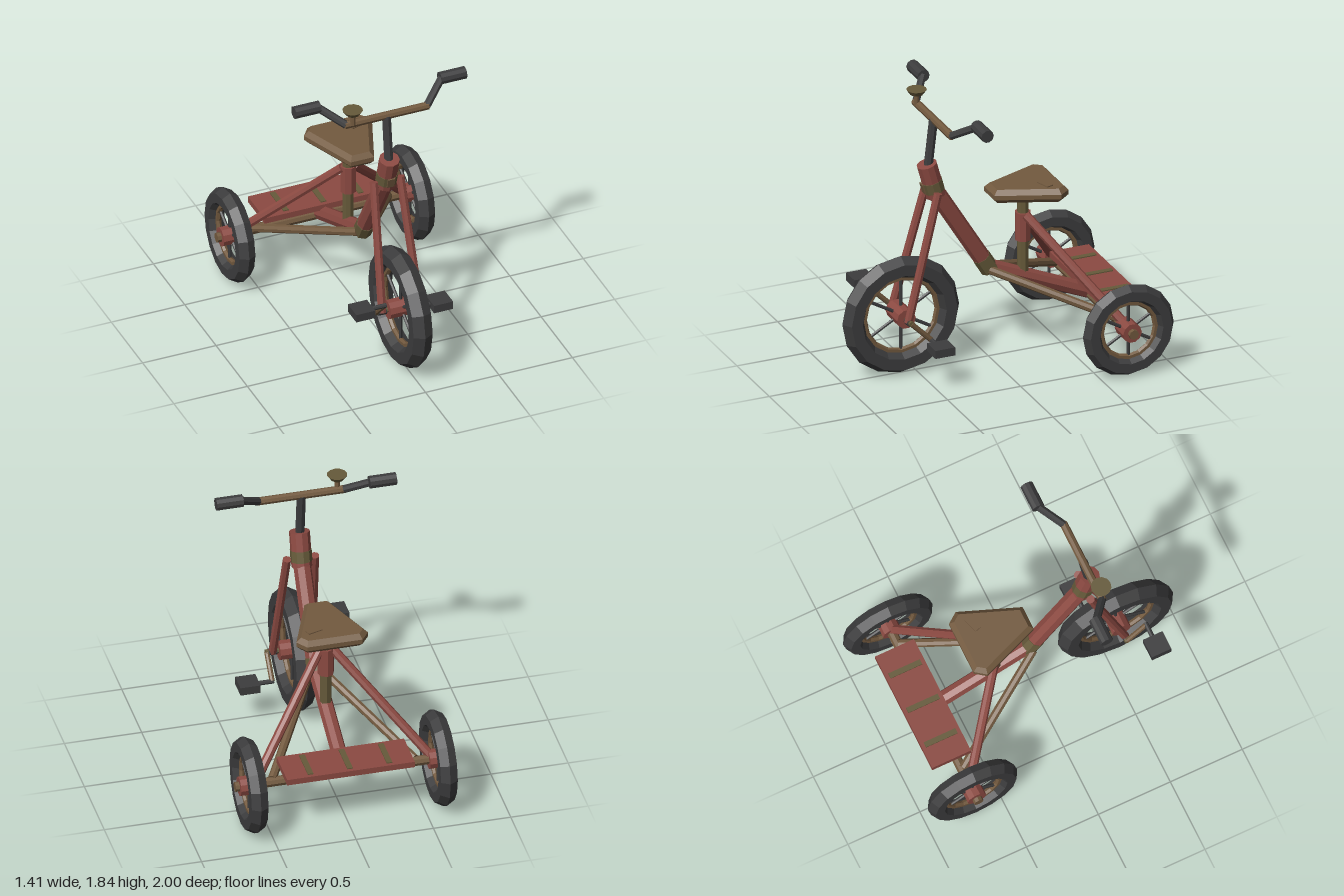
import * as THREE from 'three';

const mat = (name, color) => {
  const m = new THREE.MeshStandardMaterial({ color });
  m.name = name;
  return m;
};

export function createModel() {
  const red = mat('faded red paint', 0x8c4a42);
  const tan = mat('brown', 0x735a3f);
  const brass = mat('dull brass', 0x665a3a);
  const rubber = mat('black rubber', 0x3d3d3e);

  const model = new THREE.Group();
  model.name = 'tricycle';
  const V = (x, y, z) => new THREE.Vector3(x, y, z);

  // Faceted mesh
  function add(name, geometry, material, parent = model) {
    const g = geometry.index ? geometry.toNonIndexed() : geometry;
    g.computeVertexNormals();
    const mesh = new THREE.Mesh(g, material);
    mesh.name = name;
    parent.add(mesh);
    return mesh;
  }

  // Straight tube between two points
  function tube(name, a, b, r, material, parent = model, sides = 8, rTop = r) {
    const dir = b.clone().sub(a);
    const mesh = add(name, new THREE.CylinderGeometry(rTop, r, dir.length(), sides), material, parent);
    mesh.position.copy(a).add(b).multiplyScalar(0.5);
    mesh.quaternion.setFromUnitVectors(V(0, 1, 0), dir.normalize());
    return mesh;
  }

  function box(name, size, pos, material) {
    const mesh = add(name, new THREE.BoxGeometry(...size), material);
    mesh.position.set(...pos);
    return mesh;
  }

  // Wheel turning about x: hexagonal tyre, rim, six spokes and hub
  function wheel(name, pos, radius, thick, hubHalf) {
    const g = new THREE.Group();
    g.name = name;
    g.position.copy(pos);
    const ring = (n, R, t, m) => add(n, new THREE.TorusGeometry(R, t, 6, 16).rotateY(Math.PI / 2), m, g);
    const inner = radius - 2 * thick;
    ring('tyre', radius - thick, thick, rubber);
    ring('rim', inner, 0.019, tan);
    for (let i = 0; i < 6; i++) {
      const a = Math.PI / 6 + (i * Math.PI) / 3;
      tube('spoke', V(0, 0, 0), V(0, Math.sin(a) * inner, Math.cos(a) * inner), 0.011, rubber, g, 6);
    }
    tube('hub', V(-hubHalf, 0, 0), V(hubHalf, 0, 0), 0.064, red, g, 10);
    model.add(g);
  }

  const front = V(0, 0.408, 0.6);
  const rearY = 0.318, rearZ = -0.688;
  wheel('frontWheel', front, 0.4, 0.075, 0.09);
  for (const s of [-1, 1]) wheel(s > 0 ? 'rearWheelLeft' : 'rearWheelRight', V(s * 0.612, rearY, rearZ), 0.311, 0.0625, 0.066);
  tube('rearAxle', V(-0.705, rearY, rearZ), V(0.705, rearY, rearZ), 0.032, tan);

  // Head tube with collar and badge
  const headTop = V(0, 1.41, 0.422), headLow = V(0, 1.185, 0.36);
  const onHead = t => headLow.clone().lerp(headTop, t);
  tube('headTube', headLow, headTop, 0.066, red, model, 10);
  tube('headCollar', onHead(0.16), onHead(0.48), 0.069, brass, model, 10);
  const badge = box('headBadge', [0.05, 0.07, 0.008], [0, 1.245, 0.449], tan);
  badge.rotation.x = 0.27;

  // Main frame tube, bent at the bottom
  const bend = V(0, 0.63, 0.005);
  tube('downTube', V(0, 1.2, 0.355), bend, 0.057, red);
  tube('bendCollar', V(0, 0.7, 0.048), V(0, 0.605, -0.01), 0.06, brass);
  tube('lowerTube', bend, V(0, 0.33, rearZ), 0.05, red);

  // Seat post and collar
  tube('seatPost', V(0, 0.53, -0.237), V(0, 1.1, -0.237), 0.038, brass);
  tube('seatPostCollar', V(0, 0.77, -0.237), V(0, 0.96, -0.237), 0.052, red);

  // Bevelled wedge seat
  const outline = [[0.06, -0.035], [0.2, -0.395], [0.165, -0.442]];
  const shape = new THREE.Shape();
  [...outline, ...outline.map(([x, z]) => [-x, z]).reverse()]
    .forEach(([x, z], i) => (i ? shape.lineTo(x, -z) : shape.moveTo(x, -z)));
  shape.closePath();
  const seat = new THREE.ExtrudeGeometry(shape, {
    depth: 0.03, bevelEnabled: true, bevelSize: 0.028, bevelThickness: 0.03, bevelSegments: 1,
  }).rotateX(-Math.PI / 2);
  add('seat', seat, tan).position.y = 1.11;
  box('seatPatch', [0.1, 0.008, 0.045], [0.103, 1.173, -0.342], tan).rotation.y = 0.3;

  // Rear platform with slats
  box('platform', [0.825, 0.04, 0.27], [0, 0.42, -0.737], red);
  for (const x of [-0.255, 0, 0.255]) box('platformSlat', [0.036, 0.008, 0.22], [x, 0.443, -0.738], brass);

  // Mirrored stays, fork, handlebar ends and cranks
  for (const s of [-1, 1]) {
    tube('seatStay', V(s * 0.04, 0.95, -0.24), V(s * 0.56, 0.345, -0.68), 0.03, red);
    tube('chainStay', V(s * 0.04, 0.62, 0.01), V(s * 0.46, 0.335, -0.68), 0.028, tan);

    tube('forkLeg', V(s * 0.127, 0.4, 0.604), V(s * 0.09, 1.235, 0.384), 0.028, red);
    tube('forkNut', V(s * 0.1, 0.405, 0.602), V(s * 0.155, 0.405, 0.602), 0.022, rubber);

    tube('handlebarRise', V(s * 0.275, 1.71, 0.375), V(s * 0.42, 1.81, 0.265), 0.026, rubber);
    tube('grip', V(s * 0.41, 1.812, 0.262), V(s * 0.582, 1.812, 0.262), 0.042, rubber, model, 10);

    // Left crank points down and back, right crank up and forward
    const y = front.y - s * 0.133, z = front.z - s * 0.135;
    tube('crankAxle', V(0, front.y, front.z), V(s * 0.175, front.y, front.z), 0.018, brass);
    tube('crank', V(s * 0.165, front.y, front.z), V(s * 0.165, y, z), 0.017, tan);
    tube('pedalAxle', V(s * 0.155, y, z), V(s * 0.28, y, z), 0.015, rubber);
    box('pedal', [0.13, 0.055, 0.135], [s * 0.322, y, z], rubber);
  }

  // Stem and handlebar
  tube('stem', V(0, 1.38, 0.413), V(0, 1.71, 0.375), 0.03, rubber);
  tube('handlebar', V(-0.285, 1.71, 0.375), V(0.285, 1.71, 0.375), 0.026, tan);

  // Bell
  tube('bellPost', V(-0.235, 1.71, 0.387), V(-0.235, 1.795, 0.387), 0.018, tan);
  tube('bell', V(-0.235, 1.788, 0.387), V(-0.235, 1.82, 0.387), 0.043, brass, model, 12, 0.065);

  return model;
}
